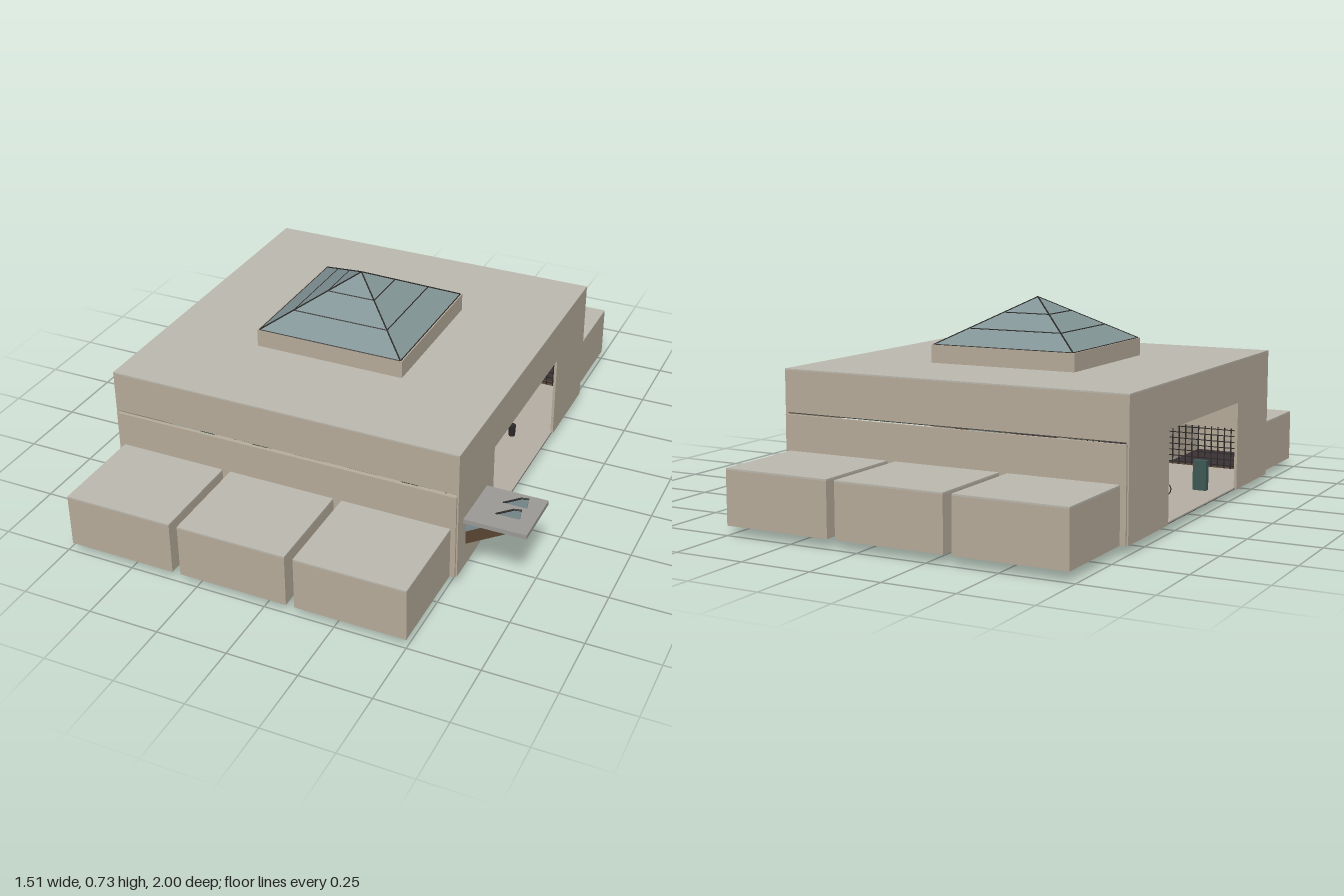
import * as THREE from 'three';

const mat = (color, side = THREE.FrontSide) => new THREE.MeshStandardMaterial({ color, flatShading: true, side });
const M = {
  wall: mat(0xb8ad9c), roof: mat(0xbdbab0), floor: mat(0xb5afa5), under: mat(0x4d4d48),
  dark: mat(0x2c2a28), shop: mat(0x3b3236), brown: mat(0x5a4632), stone: mat(0xb0a696),
  glass: mat(0x829496, THREE.DoubleSide), grey: mat(0x9d9b97), teal: mat(0x3f5a55),
  leaf: mat(0x3d4a30, THREE.DoubleSide), water: mat(0x7f9aa0),
};
const CX = -0.115; // hall centre
const FLOOR = 0.035;

function add(parent, name, geo, material, x = 0, y = 0, z = 0) {
  const m = new THREE.Mesh(geo, material);
  m.name = name;
  m.position.set(x, y, z);
  parent.add(m);
  return m;
}
// box given by its limits
function box(parent, name, material, x0, x1, y0, y1, z0, z1) {
  return add(parent, name, new THREE.BoxGeometry(x1 - x0, y1 - y0, z1 - z0), material,
    (x0 + x1) / 2, (y0 + y1) / 2, (z0 + z1) / 2);
}
// straight bar between two points
function bar(parent, name, material, a, b, r) {
  const p = new THREE.Vector3(...a), q = new THREE.Vector3(...b);
  const m = add(parent, name, new THREE.CylinderGeometry(r, r, p.distanceTo(q), 4), material);
  m.position.copy(p).add(q).multiplyScalar(0.5);
  m.quaternion.setFromUnitVectors(new THREE.Vector3(0, 1, 0), q.sub(p).normalize());
  return m;
}
const polygon = pts => new THREE.Shape(pts.map(p => new THREE.Vector2(...p)));
const extrude = (shape, depth) => new THREE.ExtrudeGeometry(shape, { depth, bevelEnabled: false });

// horizontal plate over the hall with a square skylight hole
function plateWithHole(x0, x1, zHalf, hole, depth) {
  const s = polygon([[x0, -zHalf], [x1, -zHalf], [x1, zHalf], [x0, zHalf]]);
  s.holes.push(new THREE.Path([[-1, -1], [-1, 1], [1, 1], [1, -1]]
    .map(([i, j]) => new THREE.Vector2(CX + i * hole, j * hole))));
  return extrude(s, depth).rotateX(-Math.PI / 2);
}

const shopX = [-0.535, -0.115, 0.305];
const SHOP_W = 0.195; // half width

function buildHall(g) {
  box(g, 'floor', M.floor, -0.75, 0.518, 0.037, 0.042, -0.64, 0.64);
  box(g, 'floorUnderside', M.under, -0.75, 0.518, FLOOR, 0.037, -0.64, 0.64);
  add(g, 'floorRing', new THREE.TorusGeometry(0.48, 0.002, 4, 48).rotateX(Math.PI / 2), M.dark, CX, 0.042, 0);

  // end walls, each with a wide doorway
  const end = polygon([[-0.64, FLOOR], [-0.32, FLOOR], [-0.32, 0.35], [0.32, 0.35], [0.32, FLOOR],
    [0.64, FLOOR], [0.64, 0.505], [-0.64, 0.505]]);
  for (const x of [-0.755, 0.513])
    add(g, 'endWall', extrude(end, 0.01).rotateY(Math.PI / 2), M.wall, x);

  // side walls with three shop openings
  const pts = [[-0.75, FLOOR]];
  for (const x of shopX) {
    const w = SHOP_W - 0.01;
    pts.push([x - w, FLOOR], [x - w, 0.2], [x + w, 0.2], [x + w, FLOOR]);
  }
  pts.push([0.518, FLOOR], [0.518, 0.35], [-0.75, 0.35]);
  for (const z of [-0.648, 0.636])
    add(g, 'sideWall', extrude(polygon(pts), 0.012), M.wall, 0, 0, z);

  // roof slab: beige sides, paler top, dark tiled ceiling
  add(g, 'roofSlab', plateWithHole(-0.75, 0.515, 0.64, 0.26, 0.145), M.wall, 0, 0.356, 0);
  add(g, 'roofTop', plateWithHole(-0.755, 0.523, 0.64, 0.26, 0.005), M.roof, 0, 0.501, 0);
  add(g, 'ceiling', plateWithHole(-0.745, 0.513, 0.635, 0.26, 0.004), M.under, 0, 0.352, 0);
  for (let i = 0; i <= 20; i++) { // tile joints
    const x = -0.73 + i * 0.0615, z = -0.61 + i * 0.061;
    const xParts = Math.abs(x - CX) < 0.26 ? [[-0.63, -0.26], [0.26, 0.63]] : [[-0.63, 0.63]];
    for (const [a, b] of xParts) box(g, 'ceilingJoint', M.dark, x - 0.001, x + 0.001, 0.3505, 0.352, a, b);
    const zParts = Math.abs(z) < 0.26 ? [[-0.74, CX - 0.26], [CX + 0.26, 0.51]] : [[-0.74, 0.51]];
    for (const [a, b] of zParts) box(g, 'ceilingJoint', M.dark, a, b, 0.3505, 0.352, z - 0.001, z + 0.001);
  }
}

// one shop on the +z side, open towards the hall behind a grille
function buildShop(cx) {
  const g = new THREE.Group();
  g.name = 'shop';
  const x0 = cx - SHOP_W, x1 = cx + SHOP_W, t = 0.006;
  box(g, 'shopFloor', M.shop, x0 + t, x1 - t, FLOOR, 0.04, 0.675, 1 - t);
  box(g, 'threshold', M.brown, x0 + t, x1 - t, FLOOR, 0.04, 0.64, 0.675);
  box(g, 'shopRoof', M.roof, x0, x1, 0.219, 0.225, 0.645, 1);
  box(g, 'shopBackWall', M.wall, x0, x1, FLOOR, 0.219, 1 - t, 1);
  box(g, 'shopSideWall', M.wall, x0, x0 + t, FLOOR, 0.219, 0.645, 1 - t);
  box(g, 'shopSideWall', M.wall, x1 - t, x1, FLOOR, 0.219, 0.645, 1 - t);
  for (let i = 0; i <= 14; i++) {
    const x = x0 + 0.01 + i * 0.0264;
    box(g, 'grilleBar', M.dark, x - 0.002, x + 0.002, 0.04, 0.2, 0.64, 0.644);
  }
  for (let j = 1; j <= 7; j++)
    box(g, 'grilleRail', M.dark, x0 + 0.01, x1 - 0.01, 0.028 + j * 0.023, 0.031 + j * 0.023, 0.64, 0.644);
  return g;
}

function buildSkylight() {
  const g = new THREE.Group();
  g.name = 'skylight';
  g.position.x = CX;
  const h = 0.277, base = 0.57, top = 0.728, half = 0.27;
  for (const s of [-1, 1]) { // curb
    box(g, 'curb', M.wall, -h, h, 0.505, base, s * 0.265 - 0.008, s * 0.265 + 0.008);
    box(g, 'curb', M.wall, s * 0.267 - 0.01, s * 0.267 + 0.01, 0.505, base, -0.257, 0.257);
  }
  const cone = new THREE.ConeGeometry(half * Math.SQRT2, top - base, 4, 1, true).rotateY(Math.PI / 4);
  add(g, 'glassPyramid', cone, M.glass, 0, (base + top) / 2, 0);
  const corners = [[-1, -1], [1, -1], [1, 1], [-1, 1]];
  corners.forEach(([i, j], k) => {
    bar(g, 'hipBar', M.dark, [i * half, base, j * half], [0, top, 0], 0.003);
    const [m, n] = corners[(k + 1) % 4];
    for (const f of [1, 0.665, 0.33]) {
      const y = top - (top - base) * f, r = half * f;
      bar(g, 'ringBar', M.dark, [i * r, y, j * r], [m * r, y, n * r], 0.0025);
    }
  });
  return g;
}

function buildEscalator() {
  const g = new THREE.Group();
  g.name = 'escalator';
  const body = polygon([[0.315, 0.002], [0.68, 0.212], [0.655, 0.247], [0.295, 0.036]]);
  add(g, 'truss', extrude(body, 0.076), M.brown, 0, 0, 0.495);
  const side = polygon([[0.3, 0.04], [0.66, 0.245], [0.705, 0.265], [0.71, 0.308], [0.685, 0.3], [0.31, 0.095]]);
  for (const z of [0.497, 0.565]) {
    add(g, 'balustrade', extrude(side, 0.004), M.glass, 0, 0, z);
    bar(g, 'handrail', M.dark, [0.31, 0.095, z + 0.002], [0.685, 0.302, z + 0.002], 0.004);
    bar(g, 'handrail', M.dark, [0.685, 0.302, z + 0.002], [0.71, 0.306, z + 0.002], 0.004);
  }
  for (let i = 0; i < 16; i++) {
    const x = 0.31 + i * 0.022, y = 0.045 + i * 0.0127;
    box(g, 'step', M.dark, x, x + 0.022, y - 0.012, y + 0.006, 0.503, 0.563);
  }
  box(g, 'landing', M.grey, 0.54, 0.755, 0.254, 0.27, 0.43, 0.64);
  return g;
}

function buildFountain() {
  const g = new THREE.Group();
  g.name = 'fountain';
  g.position.set(CX, 0.04, 0);
  const lathe = (name, pts, m, seg) => add(g, name,
    new THREE.LatheGeometry(pts.map(p => new THREE.Vector2(...p)), seg), m);
  lathe('basin', [[0.165, 0], [0.165, 0.022], [0.145, 0.022], [0.145, 0.006], [0, 0.006]], M.stone, 24);
  add(g, 'water', new THREE.CylinderGeometry(0.145, 0.145, 0.004, 24), M.water, 0, 0.014, 0);
  lathe('pedestal', [[0.03, 0], [0.02, 0.03], [0.012, 0.06], [0.007, 0.08], [0.007, 0.12], [0.003, 0.15], [0, 0.152]], M.stone, 12);
  for (const [r, y] of [[0.085, 0.078], [0.042, 0.125]])
    lathe('dish', [[0, y - 0.012], [r * 0.5, y - 0.008], [r, y], [r * 0.9, y], [0, y - 0.006]], M.grey, 20);
  for (let i = 0; i < 4; i++) { // benches around the basin
    const b = new THREE.Group();
    b.name = 'bench';
    b.rotation.y = i * Math.PI / 2;
    box(b, 'benchBase', M.stone, -0.05, 0.05, 0, 0.028, 0.09, 0.16);
    box(b, 'benchSeat', M.brown, -0.052, 0.052, 0.028, 0.036, 0.085, 0.163);
    g.add(b);
  }
  return g;
}

function buildPalm(x, z) {
  const g = new THREE.Group();
  g.name = 'palm';
  g.position.set(x, 0.04, z);
  add(g, 'planter', new THREE.CylinderGeometry(0.045, 0.04, 0.022, 12), M.stone, 0, 0.011, 0);
  add(g, 'trunk', new THREE.CylinderGeometry(0.004, 0.007, 0.13, 6), M.brown, 0, 0.085, 0);
  for (let i = 0; i < 9; i++) { // drooping fronds
    const leaf = new THREE.PlaneGeometry(0.05, 0.012, 4, 1).rotateX(-Math.PI / 2).translate(0.025, 0, 0);
    const p = leaf.attributes.position;
    for (let k = 0; k < p.count; k++) {
      const t = p.getX(k) / 0.05;
      p.setY(k, 0.03 * t - 0.055 * t * t);
      p.setZ(k, p.getZ(k) * (1.1 - t));
    }
    add(g, 'frond', leaf, M.leaf, 0, 0.15, 0).rotation.y = i * Math.PI * 2 / 9;
  }
  for (let i = 0; i < 5; i++) {
    const a = i * Math.PI * 0.4;
    add(g, 'shrub', new THREE.IcosahedronGeometry(0.012, 0), M.leaf, 0.026 * Math.cos(a), 0.028, 0.026 * Math.sin(a));
  }
  return g;
}

export function createModel() {
  const model = new THREE.Group();
  model.name = 'shoppingHall';
  buildHall(model);
  for (const x of shopX) model.add(buildShop(x));
  for (const x of shopX) { // opposite row
    const row = buildShop(-x);
    row.rotation.y = Math.PI;
    model.add(row);
  }
  model.add(buildSkylight(), buildEscalator(), buildFountain());
  for (const i of [-1, 1]) for (const j of [-1, 1]) model.add(buildPalm(CX + i * 0.3, j * 0.265));
  // hall furniture
  box(model, 'infoBoard', M.teal, -0.68, -0.63, 0.042, 0.15, 0.21, 0.235);
  for (const [x, z] of [[0.39, -0.235], [-0.62, -0.235], [0.39, 0.3]])
    add(model, 'litterBin', new THREE.CylinderGeometry(0.014, 0.012, 0.045, 10), M.dark, x, 0.064, z);
  return model;
}
